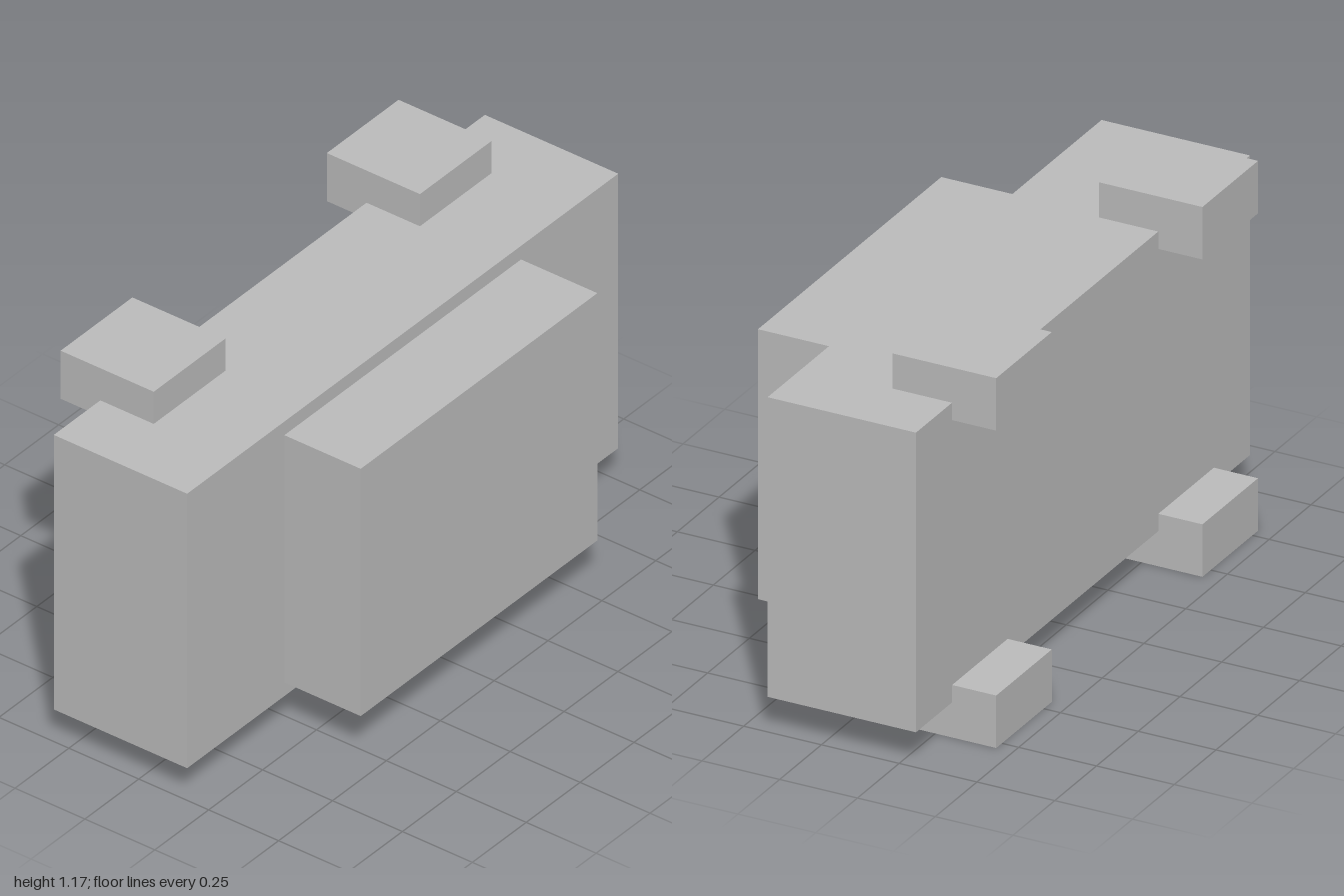
import * as THREE from 'three';

export function createModel() {
  const group = new THREE.Group();
  const grey = new THREE.MeshStandardMaterial({ color: 0xbcbcbc });
  grey.name = 'light grey';

  // Box given by its lower and upper limits on each axis
  function block(name, [x0, x1], [y0, y1], [z0, z1]) {
    const mesh = new THREE.Mesh(new THREE.BoxGeometry(x1 - x0, y1 - y0, z1 - z0), grey);
    mesh.position.set((x0 + x1) / 2, (y0 + y1) / 2, (z0 + z1) / 2);
    mesh.name = name;
    group.add(mesh);
  }

  // Main body and the raised block on its front
  block('body', [-1, 1], [0.111, 1.059], [-0.304, 0.173]);
  block('frontBlock', [-0.549, 0.549], [0.158, 1.012], [0.173, 0.446]);

  // Four lugs gripping the rear edges, mirrored left and right
  for (const [side, x] of [['Left', [0.451, 0.784]], ['Right', [-0.784, -0.451]]]) {
    block('lower' + side + 'Lug', x, [0, 0.166], [-0.446, -0.113]);
    block('upper' + side + 'Lug', x, [1.004, 1.17], [-0.446, -0.113]);
  }

  return group;
}
